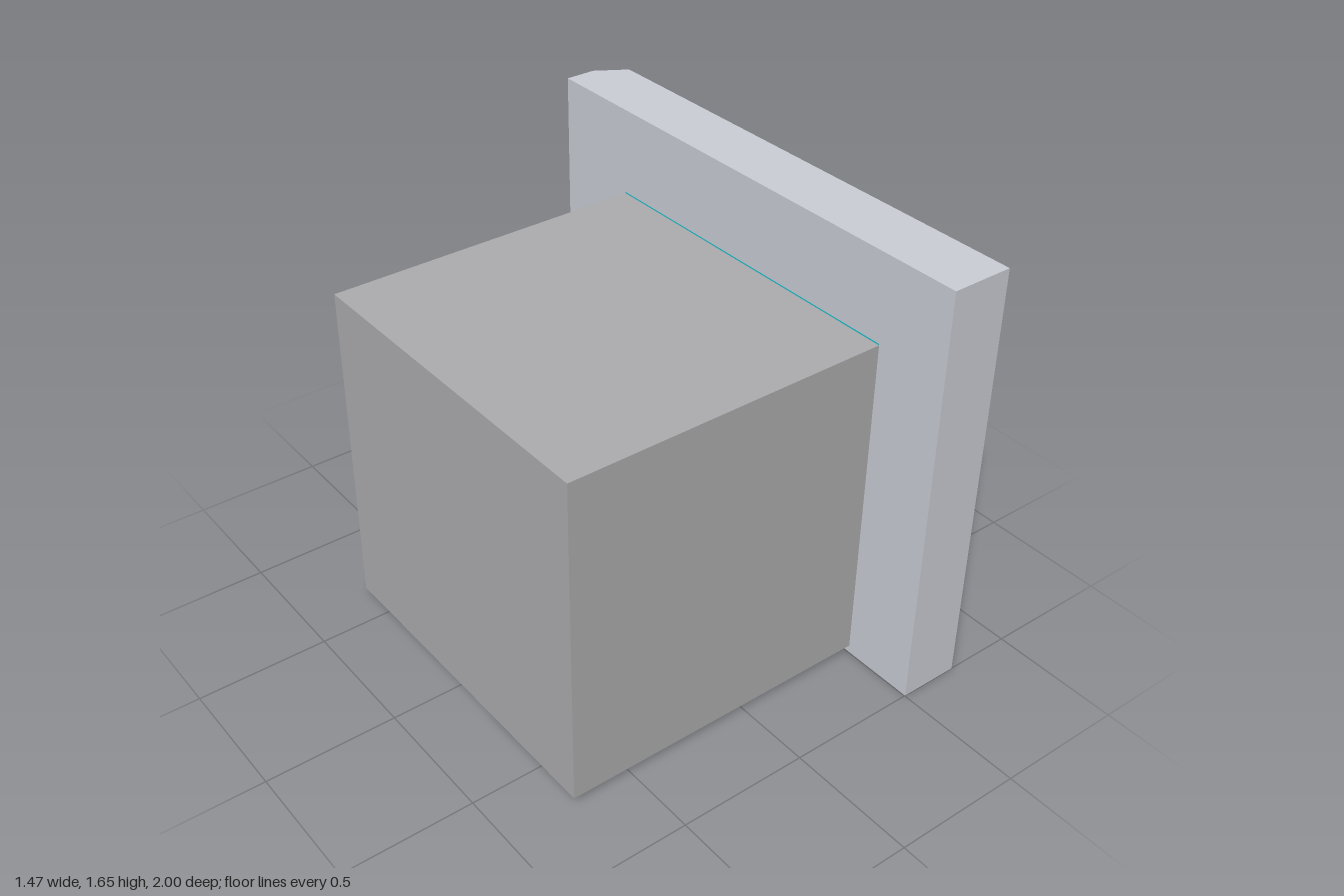
import * as THREE from 'three';

const HOLE = { z0: -0.64, z1: 0.71, y0: 0.335, y1: 1.325 };
const FRAME = { x0: 0.502, x1: 0.737, height: 1.655 };

function mat(color) {
  return new THREE.MeshStandardMaterial({ color, flatShading: true });
}

function box(name, x0, x1, y0, y1, z0, z1, color) {
  const mesh = new THREE.Mesh(new THREE.BoxGeometry(x1 - x0, y1 - y0, z1 - z0), mat(color));
  mesh.position.set((x0 + x1) / 2, (y0 + y1) / 2, (z0 + z1) / 2);
  mesh.name = name;
  return mesh;
}

// Upright plate with a window, extruded along x, with its rear outer edge bevelled
function makeFrame() {
  const shape = new THREE.Shape();
  shape.moveTo(-1, 0).lineTo(1, 0).lineTo(1, FRAME.height).lineTo(-1, FRAME.height).closePath();
  const hole = new THREE.Path();
  hole.moveTo(-HOLE.z1, HOLE.y0).lineTo(-HOLE.z1, HOLE.y1)
    .lineTo(-HOLE.z0, HOLE.y1).lineTo(-HOLE.z0, HOLE.y0).closePath();
  shape.holes.push(hole);

  const depth = FRAME.x1 - FRAME.x0;
  const geo = new THREE.ExtrudeGeometry(shape, { depth, steps: 2, bevelEnabled: false });
  const pos = geo.attributes.position;
  for (let i = 0; i < pos.count; i++) {
    if (pos.getZ(i) > depth * 0.9 && pos.getX(i) > 0.99) pos.setX(i, 0.927);
  }
  geo.rotateY(Math.PI / 2);
  geo.translate(FRAME.x0, 0, 0);
  geo.computeVertexNormals();
  const mesh = new THREE.Mesh(geo, mat(0xcbced6));
  mesh.name = 'frame';
  return mesh;
}

export function createModel() {
  const group = new THREE.Group();
  group.name = 'monitor';
  group.add(
    makeFrame(),
    // Rear housing
    box('housing', -0.737, FRAME.x0, 0.03, 1.32, HOLE.z0, HOLE.z1, 0xadadaf),
    // Screen set slightly back in the window
    box('screen', FRAME.x0, FRAME.x1 - 0.045, HOLE.y0, HOLE.y1, HOLE.z0, HOLE.z1, 0x0dbfce),
  );
  return group;
}
